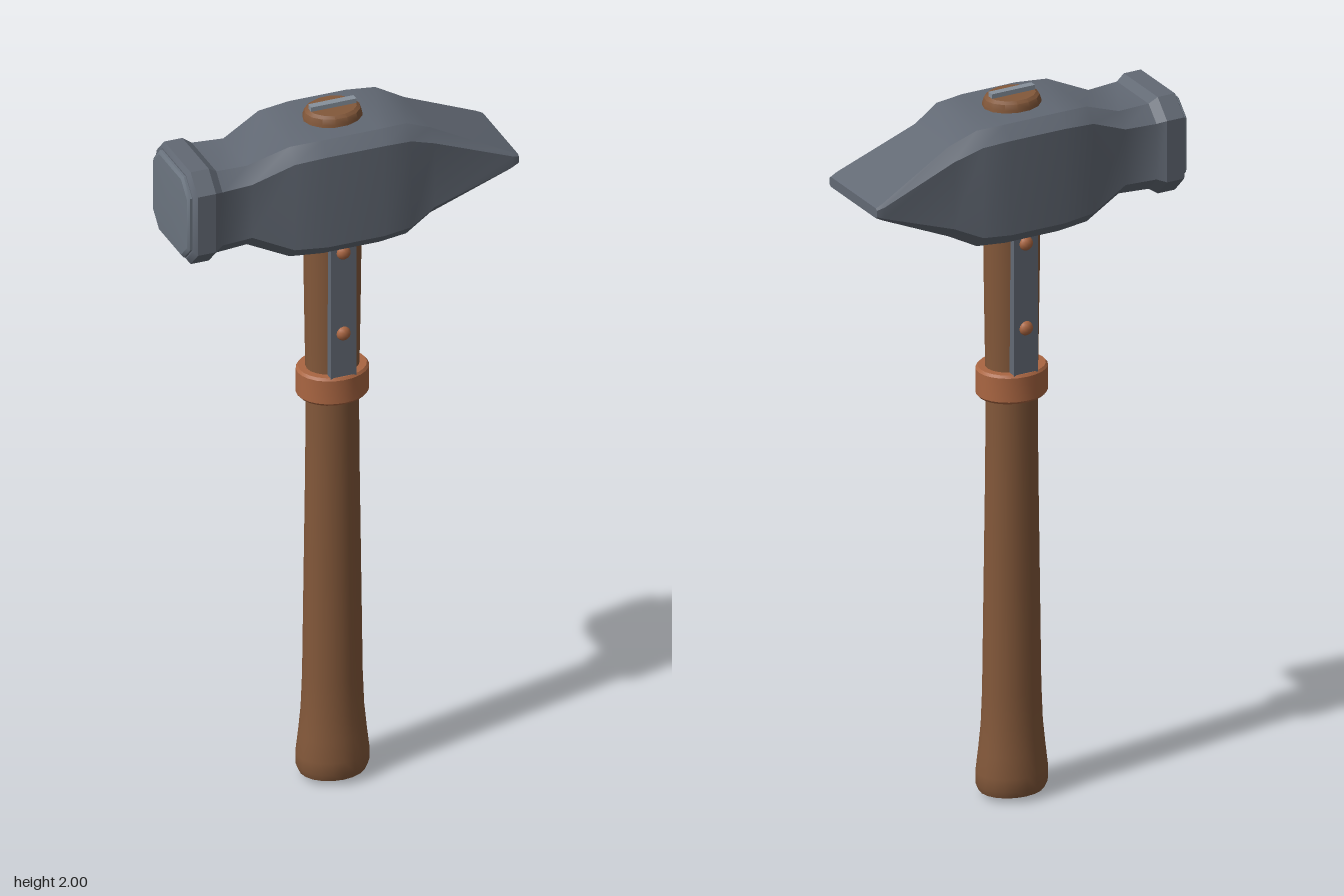
import * as THREE from 'three';
import { toCreasedNormals } from 'three/addons/utils/BufferGeometryUtils.js';

const material = (name, color) => {
  const m = new THREE.MeshStandardMaterial({ color });
  m.name = name;
  return m;
};

// Loft chamfered-rectangle sections along x: [x, halfHeight, halfDepth, chamferY, chamferZ]
function loft(stations, startBulge = 0) {
  const pos = [];
  const rings = stations.map(([x, h, d, cy, cz]) => [
    [h, d - cz], [h - cy, d], [cy - h, d], [-h, d - cz],
    [-h, cz - d], [cy - h, -d], [h - cy, -d], [h, cz - d],
  ].map(([y, z]) => [x, y, z]));
  const tri = (a, b, c) => pos.push(...a, ...b, ...c);
  const first = rings[0], last = rings[rings.length - 1];
  const startCentre = [first[0][0] - startBulge, 0, 0], endCentre = [last[0][0], 0, 0];
  for (let j = 0; j < 8; j++) {
    const k = (j + 1) % 8;
    for (let i = 0; i < rings.length - 1; i++) {
      const a = rings[i], b = rings[i + 1];
      tri(a[j], a[k], b[j]);
      tri(a[k], b[k], b[j]);
    }
    tri(startCentre, first[k], first[j]);
    tri(endCentre, last[j], last[k]);
  }
  const g = new THREE.BufferGeometry();
  g.setAttribute('position', new THREE.Float32BufferAttribute(pos, 3));
  return toCreasedNormals(g, 0.5);
}

// Oval turned shape: profile of [radius in x, y]
function turned(profile, segments, depthRatio, crease = 0.6) {
  const g = new THREE.LatheGeometry(profile.map(([r, y]) => new THREE.Vector2(r, y)), segments, Math.PI / 2);
  g.scale(1, 1, depthRatio);
  return toCreasedNormals(g, crease);
}

export function createModel() {
  const steel = material('forged steel', 0x626974);
  const polished = material('polished steel', 0x6c7580);
  const wedgeSteel = material('bright wedge steel', 0x87919c);
  const wood = material('brown wood', 0x83583a);
  const copper = material('copper', 0xaa6642);

  const group = new THREE.Group();
  group.name = 'hammer';
  const add = (name, geometry, mat, x = 0, y = 0, z = 0) => {
    const mesh = new THREE.Mesh(geometry, mat);
    mesh.name = name;
    mesh.position.set(x, y, z);
    group.add(mesh);
    return mesh;
  };
  const axis = -0.005, headY = 1.79;

  // Head: square poll on the right, swelling around the eye, wedge peen on the left
  add('head', loft([
    [-0.452, 0.124, 0.126, 0.045, 0.045],
    [-0.443, 0.137, 0.14, 0.05, 0.05],
    [-0.392, 0.137, 0.14, 0.05, 0.05],
    [-0.368, 0.121, 0.126, 0.042, 0.042],
    [-0.28, 0.117, 0.118, 0.038, 0.038],
    [-0.17, 0.163, 0.142, 0.036, 0.036],
    [-0.08, 0.168, 0.149, 0.034, 0.034],
    [0.08, 0.168, 0.149, 0.034, 0.034],
    [0.16, 0.164, 0.142, 0.036, 0.036],
    [0.235, 0.127, 0.12, 0.032, 0.032],
    [0.45, 0.024, 0.131, 0.008, 0.01],
    [0.47, 0.014, 0.126, 0.005, 0.006],
  ]), steel, 0, headY);

  // Striking face
  add('strikingFace', loft([
    [-0.464, 0.112, 0.115, 0.04, 0.04],
    [-0.458, 0.12, 0.123, 0.043, 0.043],
    [-0.448, 0.12, 0.123, 0.043, 0.043],
  ], 0.006), polished, 0, headY);

  // Handle with flared butt
  add('handle', turned([
    [0, 0.006], [0.07, 0.008], [0.09, 0.015], [0.099, 0.035], [0.099, 0.07], [0.092, 0.13],
    [0.085, 0.2], [0.081, 0.3], [0.077, 0.6], [0.073, 0.9], [0.071, 1.14],
    [0.074, 1.3], [0.077, 1.5], [0.078, 1.7],
  ], 20, 0.84), wood, axis);
  add('buttPlug', new THREE.CylinderGeometry(0.012, 0.012, 0.012, 10), wood, axis, 0.006);

  // Handle end showing through the eye, with its wedge
  add('handleEnd', turned([
    [0.08, 1.85], [0.081, 1.965], [0.076, 1.98], [0.066, 1.987], [0, 1.987],
  ], 14, 0.82), wood, axis);
  add('wedge', new THREE.BoxGeometry(0.128, 0.06, 0.02), wedgeSteel, axis, 1.97);

  // Collar
  add('collar', turned([
    [0.07, 1.137], [0.092, 1.137], [0.098, 1.144], [0.098, 1.212], [0.092, 1.219], [0.07, 1.219],
  ], 24, 0.87), copper, axis);

  // Langets and rivets on front and back
  for (const side of [1, -1]) {
    const label = side > 0 ? 'front' : 'back';
    add(label + 'Langet', new THREE.BoxGeometry(0.072, 0.46, 0.03), steel, axis, 1.42, side * 0.061);
    for (const y of [1.347, 1.588]) {
      const rivet = add(label + 'Rivet', new THREE.SphereGeometry(0.02, 12, 8), copper, axis, y, side * 0.075);
      rivet.scale.z = 0.8;
    }
  }
  return group;
}
